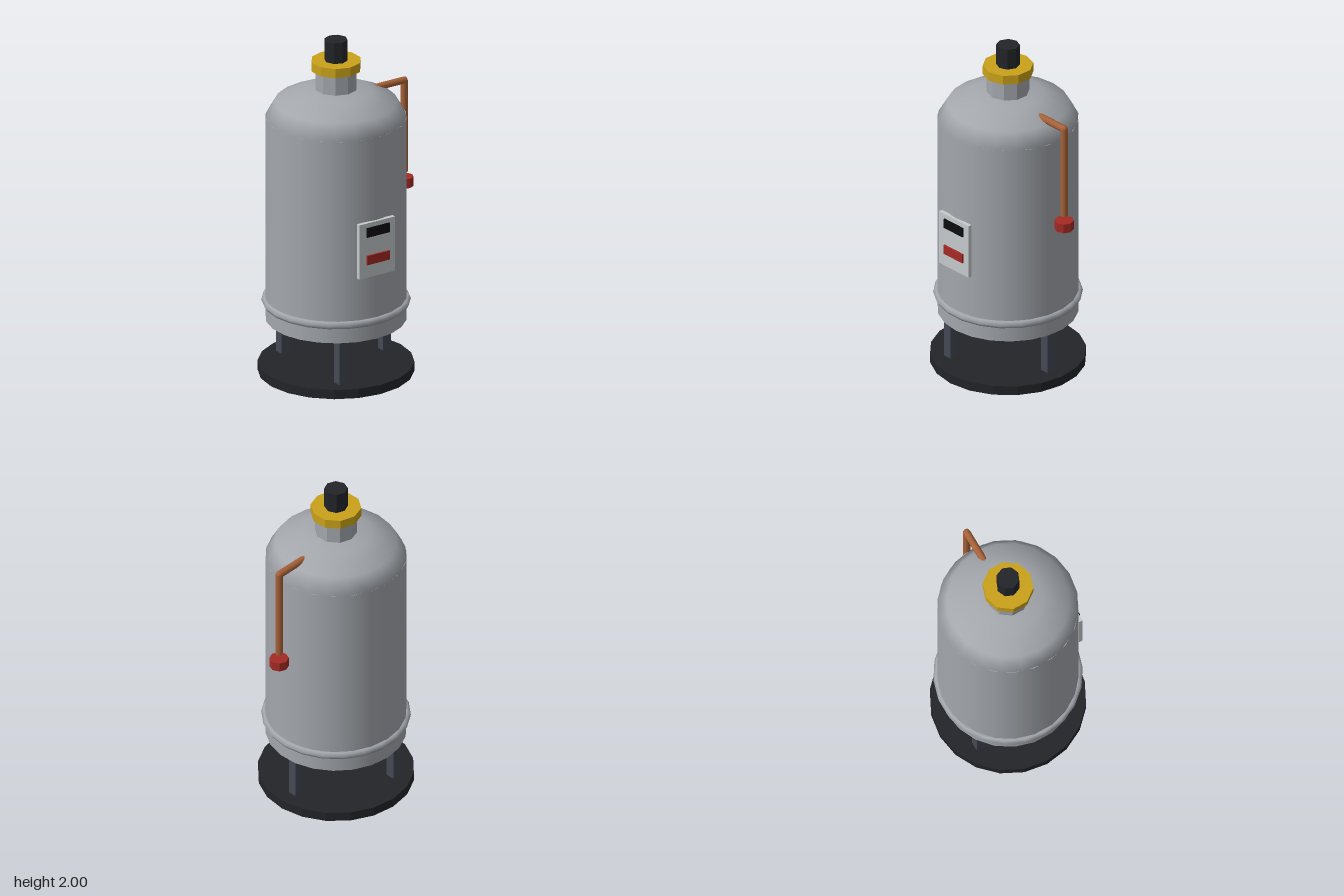
import * as THREE from 'three';

export function createModel() {
  const model = new THREE.Group();
  model.name = 'pressureTank';

  const mat = (color, flatShading = false) => new THREE.MeshStandardMaterial({ color, flatShading });
  const steel = mat(0xa3a7ac);
  const black = mat(0x222428, true);
  const yellow = mat(0xc9a21a, true);
  const red = mat(0xa52a24, true);
  const copper = mat(0xa86238);
  const legGrey = mat(0x434954);
  const plate = mat(0xc6cacc);
  const CX = -0.04; // tank axis; the side pipe shifts it off centre

  function add(name, geometry, material, x, y, z = 0) {
    const mesh = new THREE.Mesh(geometry, material);
    mesh.name = name;
    mesh.position.set(x, y, z);
    model.add(mesh);
    return mesh;
  }
  // upright cylinder given by its bottom and top heights
  const drum = (name, r, y0, y1, sides, material, x = CX) =>
    add(name, new THREE.CylinderGeometry(r, r, y1 - y0, sides), material, x, (y0 + y1) / 2);

  // base plate and three legs
  drum('base', 0.44, 0, 0.055, 20, black);
  for (let i = 0; i < 3; i++) {
    const a = (i * Math.PI * 2) / 3;
    add('leg', new THREE.BoxGeometry(0.053, 0.275, 0.053), legGrey,
      CX + 0.33 * Math.cos(a), 0.1875, 0.33 * Math.sin(a));
  }

  // tank shell with flattened dome and lower band
  drum('tankBody', 0.397, 0.32, 1.535, 22, steel);
  const dome = add('dome',
    new THREE.SphereGeometry(0.397, 20, 3, 0, Math.PI * 2, 0, Math.PI / 2), steel, CX, 1.535);
  dome.scale.y = 0.185 / 0.397;
  const band = add('lowerBand', new THREE.TorusGeometry(0.396, 0.024, 6, 22), steel, CX, 0.43);
  band.rotation.x = Math.PI / 2;

  // neck, collar and top cap
  drum('neck', 0.12, 1.66, 1.82, 10, mat(0xa3a7ac, true));
  drum('collar', 0.143, 1.82, 1.875, 10, yellow);
  drum('topCap', 0.066, 1.875, 2, 8, black);

  // side pipe with a mitred elbow, and its valve
  const PX = 0.424, PY = 1.646, R = 0.021;
  const outlet = add('pipeOutlet', new THREE.CylinderGeometry(R, R, 0.22, 8), copper, PX - 0.11, PY);
  outlet.rotation.z = Math.PI / 2;
  drum('pipeDrop', R, 1.095, PY, 8, copper, PX);
  add('pipeElbow', new THREE.SphereGeometry(R, 8, 6), copper, PX, PY);
  drum('valve', 0.055, 1.01, 1.065, 8, red, PX);

  // control panel on the front
  add('panel', new THREE.BoxGeometry(0.243, 0.328, 0.024), plate, CX - 0.003, 0.874, 0.399);
  add('display', new THREE.BoxGeometry(0.155, 0.055, 0.02), mat(0x0c0d0f), CX, 0.983, 0.411);
  add('switch', new THREE.BoxGeometry(0.155, 0.055, 0.02), red, CX, 0.817, 0.411);

  return model;
}
